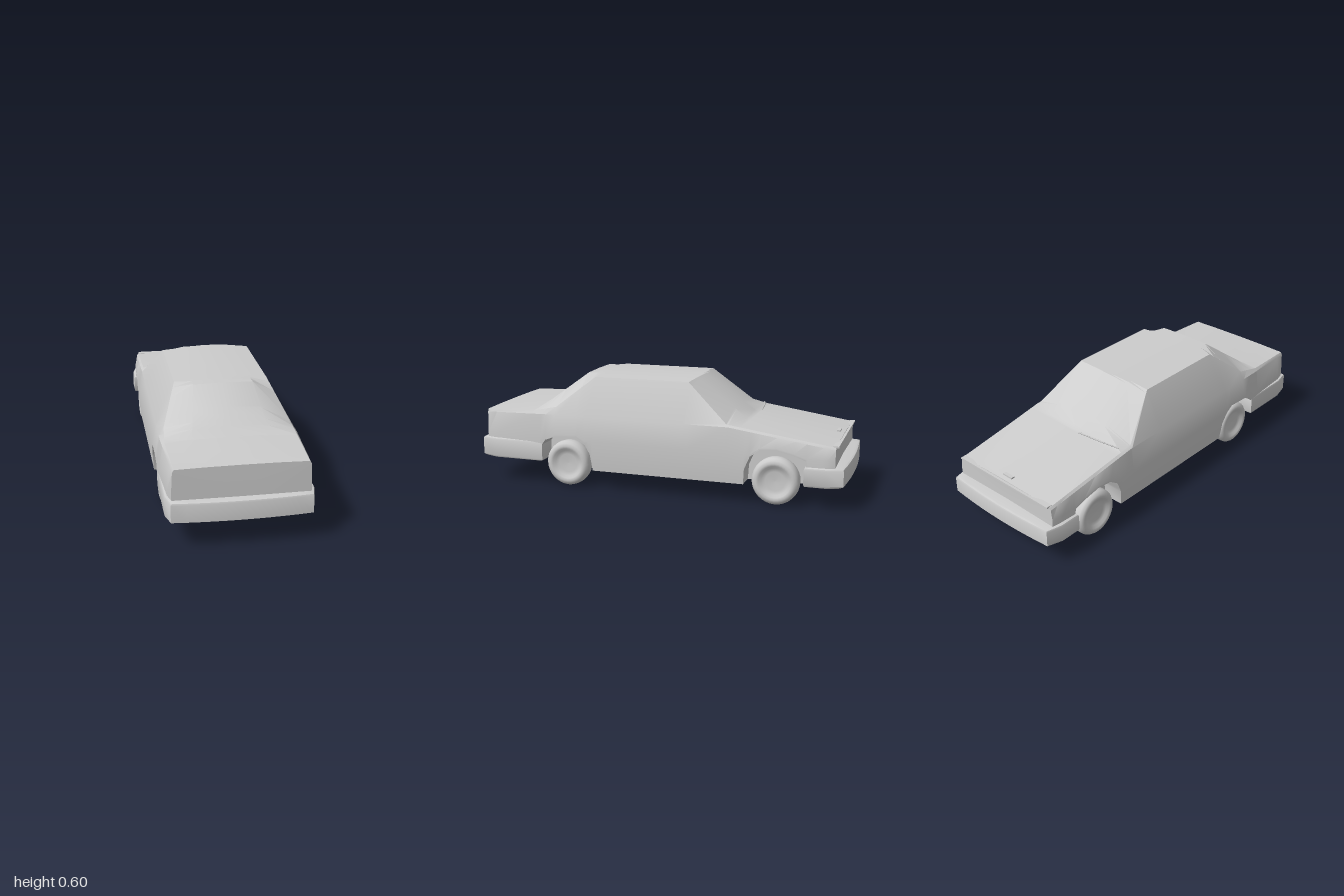
import * as THREE from 'three';
import { toCreasedNormals } from 'three/addons/utils/BufferGeometryUtils.js';

const paint = new THREE.MeshStandardMaterial({ color: 0xcccccc });
paint.name = 'light grey';

function add(group, name, geometry, x = 0, y = 0, z = 0) {
  const mesh = new THREE.Mesh(geometry, paint);
  mesh.name = name;
  mesh.position.set(x, y, z);
  group.add(mesh);
  return mesh;
}

// Tracks run along the car; each key is [z, x, y] with z falling.
const tracks = {
  floor: [[0.955, 0.235, 0.13], [0.63, 0.235, 0.13], [0.33, 0.235, 0.098], [-0.88, 0.235, 0.1], [-0.94, 0.235, 0.13]],
  // lower edge of the flank, including the wheel arches
  lower: [
    [0.955, 0, 0.132], [0.632, 0, 0.132], [0.629, 0, 0.21], [0.6, 0, 0.25], [0.54, 0, 0.272], [0.42, 0, 0.278],
    [0.375, 0, 0.245], [0.345, 0, 0.19], [0.332, 0, 0.1], [-0.485, 0, 0.1], [-0.49, 0, 0.18], [-0.52, 0, 0.25],
    [-0.57, 0, 0.285], [-0.65, 0, 0.29], [-0.74, 0, 0.268], [-0.798, 0, 0.245], [-0.801, 0, 0.125], [-0.94, 0, 0.132],
  ],
  mid: [[0.955, 0.326, 0.26], [0.9, 0.34, 0.26], [0.6, 0.355, 0.26], [-0.5, 0.355, 0.26], [-0.9, 0.337, 0.255], [-0.94, 0.33, 0.25]],
  belt: [[0.955, 0.32, 0.375], [0.6, 0.337, 0.386], [-0.4, 0.335, 0.386], [-0.94, 0.322, 0.306]],
  edge: [
    [0.955, 0.312, 0.39], [0.68, 0.322, 0.398], [0.55, 0.312, 0.425], [0.42, 0.262, 0.53],
    [0.35, 0.235, 0.585], [-0.165, 0.235, 0.585], [-0.39, 0.322, 0.397], [-0.94, 0.313, 0.318],
  ],
  inner: [[0.955, 0.17, 0.393], [0.675, 0.19, 0.408], [0.425, 0.15, 0.592], [-0.18, 0.12, 0.594], [-0.46, 0.17, 0.402], [-0.94, 0.16, 0.326]],
  crown: [[0.955, 0, 0.394], [0.68, 0, 0.41], [0.425, 0, 0.595], [-0.19, 0, 0.596], [-0.48, 0, 0.403], [-0.94, 0, 0.328]],
};

function sample(track, z) {
  let i = 0;
  while (i < track.length - 2 && z < track[i + 1][0]) i++;
  const [a, b] = [track[i], track[i + 1]];
  const t = THREE.MathUtils.clamp((a[0] - z) / (a[0] - b[0]), 0, 1);
  return [a[1] + (b[1] - a[1]) * t, a[2] + (b[2] - a[2]) * t];
}

// Closed cross-section of the body, running bottom, left, top, right
function section(z) {
  const at = (key) => sample(tracks[key], z);
  const [fx, fy] = at('floor');
  const low = Math.max(at('lower')[1], fy + 0.001);
  const [mx, my] = at('mid');
  const lowX = (0.343 + (Math.min(low, 0.26) - 0.1) * 0.075) * (mx / 0.355);
  const half = [[0, fy], [fx, fy], [fx, low], [lowX, low], [mx, Math.max(my, low + 0.01)],
    at('belt'), at('edge'), at('inner'), at('crown')];
  const other = half.slice(1, -1).reverse().map(([x, y]) => [-x, y]);
  return [...half, ...other].map(([x, y]) => [x, y, z]);
}

function bodyGeometry() {
  const keys = Object.values(tracks).flat().map((k) => k[0]);
  const stations = [...new Set(keys)].sort((a, b) => b - a);
  const rings = stations.map(section);
  const n = rings[0].length;
  const points = [];
  for (let i = 0; i < rings.length - 1; i++) {
    for (let j = 0; j < n; j++) {
      const k = (j + 1) % n;
      const [a, b, c, d] = [rings[i][j], rings[i][k], rings[i + 1][k], rings[i + 1][j]];
      points.push(a, d, c, a, c, b);
    }
  }
  // end panels
  const first = rings[0], last = rings[rings.length - 1];
  for (let j = 0; j < n; j++) {
    const k = (j + 1) % n;
    points.push([0, 0.25, 0.958], first[j], first[k], [0, 0.22, -0.935], last[k], last[j]);
  }
  const geometry = new THREE.BufferGeometry();
  geometry.setAttribute('position', new THREE.Float32BufferAttribute(points.flat(), 3));
  return toCreasedNormals(geometry, 0.45);
}

// Wraparound bumper: a plan outline raised to its height, tucked in below
function bumperGeometry(sign, start, y0, y1) {
  const s = new THREE.Shape();
  const e = 0.012;
  s.moveTo(-0.34, start);
  s.lineTo(0.34, start);
  s.lineTo(0.34, 0.9);
  s.lineTo(0.322, 0.972);
  s.quadraticCurveTo(0, 1.004, -0.322, 0.972);
  s.lineTo(-0.34, 0.9);
  s.closePath();
  const g = new THREE.ExtrudeGeometry(s, {
    depth: y1 - y0 - 2 * e, bevelEnabled: true, bevelSize: e, bevelThickness: e, bevelSegments: 2, curveSegments: 10,
  });
  g.translate(0, 0, e);
  g.rotateX(-Math.PI / 2);
  const p = g.attributes.position;
  for (let i = 0; i < p.count; i++) {
    if (p.getY(i) < e * 0.6 && p.getZ(i) < -0.94) p.setZ(i, p.getZ(i) + 0.018);
  }
  if (sign > 0) g.rotateY(Math.PI);
  g.translate(0, y0, 0);
  return toCreasedNormals(g, 0.6);
}

// Rounded tyre with a dished disc on both faces
function wheelGeometry() {
  const profile = [[0, -0.022], [0.05, -0.024], [0.07, -0.03], [0.082, -0.04], [0.095, -0.0425], [0.11, -0.038], [0.12, -0.024],
    [0.1225, 0], [0.12, 0.024], [0.11, 0.038], [0.095, 0.0425], [0.082, 0.04], [0.07, 0.03], [0.05, 0.024], [0, 0.022]];
  const g = new THREE.LatheGeometry(profile.map(([r, h]) => new THREE.Vector2(r, h)), 32);
  return g.rotateZ(-Math.PI / 2);
}

export function createModel() {
  const car = new THREE.Group();
  car.name = 'sedan';

  add(car, 'body', bodyGeometry());
  add(car, 'bootBumper', bumperGeometry(1, 0.633, 0.128, 0.238));
  add(car, 'bonnetBumper', bumperGeometry(-1, 0.802, 0.115, 0.215));

  // wheels
  const wheel = wheelGeometry();
  for (const [name, z] of [['bootWheel', 0.485], ['bonnetWheel', -0.643]]) {
    for (const side of [-1, 1]) add(car, name, wheel, side * 0.2925, 0.1225, z);
  }

  // bonnet lip above the grille, with a small latch
  add(car, 'bonnetLip', new THREE.BoxGeometry(0.62, 0.008, 0.03), 0, 0.32, -0.938);
  add(car, 'bonnetLatch', new THREE.BoxGeometry(0.06, 0.008, 0.018), 0, 0.337, -0.91);

  // wiper at the foot of the windscreen
  const wiper = new THREE.CatmullRomCurve3([[-0.3, 0.398, -0.448], [-0.2, 0.406, -0.472], [-0.06, 0.407, -0.487]]
    .map((p) => new THREE.Vector3(...p)));
  add(car, 'wiper', new THREE.TubeGeometry(wiper, 10, 0.004, 5));

  return car;
}
